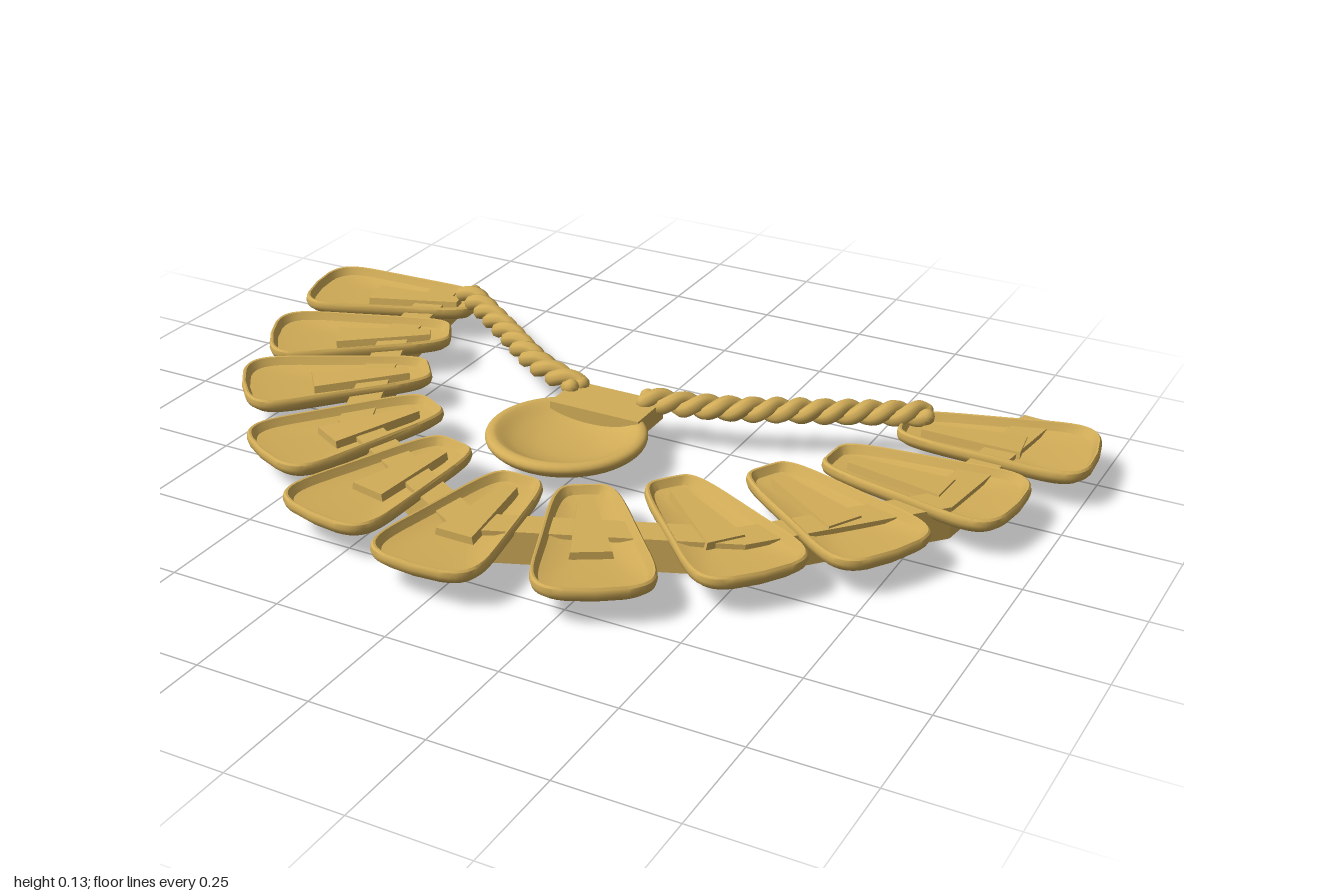
import * as THREE from 'three';
import { toCreasedNormals } from 'three/addons/utils/BufferGeometryUtils.js';

const gold = new THREE.MeshStandardMaterial({ color: 0xd2ad58 });
gold.name = 'gold';

function add(parent, name, geometry) {
  const mesh = new THREE.Mesh(geometry, gold);
  mesh.name = name;
  parent.add(mesh);
  return mesh;
}

// Shallow tray with a rounded, tapering outline; local +x is the wide end.
function trayGeometry(length) {
  const rings = [ // [scale, height] from under the belly, over the rim, to the floor
    [0, 0.041], [0.55, 0.044], [0.85, 0.053], [0.97, 0.064], [1, 0.074], [0.985, 0.084],
    [0.95, 0.088], [0.91, 0.087], [0.87, 0.079], [0.82, 0.07], [0.6, 0.063], [0, 0.06],
  ];
  const n = 48, pos = [], idx = [];
  const round = (v) => Math.sign(v) * Math.pow(Math.abs(v), 0.38);
  for (const [s, y] of rings) {
    for (let j = 0; j < n; j++) {
      const t = (j / n) * Math.PI * 2;
      const u = round(Math.cos(t)), v = round(Math.sin(t));
      const half = 0.103 + 0.035 * u;
      const bulge = u > 0 ? 0.02 * u * (1 - v * v) - 0.02 * u : 0;
      // constant-width rim: the inset is the same on the ends and the sides
      const inset = Math.min(1 - s, 0.2) * 0.1;
      const shrink = s < 0.8 ? s / 0.8 : 1;
      pos.push((length / 2 * u + bulge - inset * u) * shrink, y, (half - inset) * v * shrink);
    }
  }
  for (let i = 0; i < rings.length - 1; i++) {
    for (let j = 0; j < n; j++) {
      const k = (j + 1) % n;
      const a = i * n + j, b = i * n + k, c = a + n, d = b + n;
      if (i > 0) idx.push(a, c, b);
      else idx.push(a, c, d);
      if (i > 0 && i < rings.length - 2) idx.push(b, c, d);
    }
  }
  const g = new THREE.BufferGeometry();
  g.setAttribute('position', new THREE.Float32BufferAttribute(pos, 3));
  g.setIndex(idx);
  return toCreasedNormals(g, 0.6);
}

// Raised wedge on the tray floor, wider and lower toward the outer end.
function wedgeGeometry() {
  const g = new THREE.BoxGeometry(0.22, 0.034, 1);
  const p = g.attributes.position;
  for (let i = 0; i < p.count; i++) {
    const outer = p.getX(i) > 0, top = p.getY(i) > 0;
    p.setZ(i, p.getZ(i) * ((outer ? 0.095 : 0.045) - (top ? 0.012 : 0)));
    if (top && outer) p.setY(i, p.getY(i) - 0.004);
  }
  const flat = g.toNonIndexed();
  flat.computeVertexNormals();
  return flat;
}

// Flat band following a polyline of [x, z] points, with mitred corners.
function bandGeometry(points, width, height) {
  const p = points.map(([x, z]) => new THREE.Vector2(x, z));
  const side = (sign) => p.map((q, i) => {
    const d0 = (i ? q.clone().sub(p[i - 1]) : p[1].clone().sub(q)).normalize();
    const d1 = (i < p.length - 1 ? p[i + 1].clone().sub(q) : d0.clone()).normalize();
    const m = new THREE.Vector2(-d0.y - d1.y, d0.x + d1.x).normalize();
    const k = (width / 2) / (m.x * -d0.y + m.y * d0.x);
    return q.clone().addScaledVector(m, sign * k);
  });
  const shape = new THREE.Shape([...side(1), ...side(-1).reverse()]);
  return new THREE.ExtrudeGeometry(shape, { depth: height, bevelEnabled: false })
    .rotateX(Math.PI / 2).translate(0, height, 0);
}

// Two strands twisted around a gently sagging path.
function addRope(parent, name, points, turns) {
  const rope = new THREE.Group();
  rope.name = name;
  parent.add(rope);
  const path = new THREE.CatmullRomCurve3(points.map(([x, z]) => new THREE.Vector3(x, 0.098, z)));
  for (let s = 0; s < 2; s++) {
    const strand = [];
    for (let i = 0; i <= turns * 12; i++) {
      const t = i / (turns * 12);
      const a = t * turns * Math.PI * 2 + s * Math.PI;
      const tan = path.getTangentAt(t);
      const across = new THREE.Vector3(-tan.z, 0, tan.x).normalize();
      const q = path.getPointAt(t).addScaledVector(across, Math.cos(a) * 0.015);
      q.y += Math.sin(a) * 0.011;
      strand.push(q);
    }
    const curve = new THREE.CatmullRomCurve3(strand);
    add(rope, 'ropeStrand', new THREE.TubeGeometry(curve, turns * 18, 0.018, 8));
    for (const end of [strand[0], strand[strand.length - 1]]) {
      add(rope, 'strandEnd', new THREE.SphereGeometry(0.018, 10, 8)).position.copy(end);
    }
  }
}

export function createModel() {
  const model = new THREE.Group();
  model.name = 'collar';

  // Trays around the arc: inner x, z then outer x, z
  const trays = [
    [-0.585, -0.553, -0.997, -0.463], [-0.54, -0.372, -0.92, -0.15],
    [-0.468, -0.174, -0.815, 0.11], [-0.366, -0.019, -0.57, 0.365],
    [-0.221, 0.118, -0.313, 0.55], [-0.022, 0.19, -0.024, 0.622],
    [0.115, 0.17, 0.334, 0.532], [0.25, 0.061, 0.585, 0.318],
    [0.398, -0.088, 0.783, 0.12], [0.497, -0.212, 0.928, -0.185],
    [0.586, -0.425, 0.992, -0.48],
  ];
  const tray = trayGeometry(0.432), wedge = wedgeGeometry();
  for (const [x0, z0, x1, z1] of trays) {
    const petal = new THREE.Group();
    petal.name = 'petal';
    petal.position.set((x0 + x1) / 2, 0, (z0 + z1) / 2);
    petal.rotation.y = Math.atan2(z0 - z1, x1 - x0);
    add(petal, 'petalTray', tray);
    add(petal, 'petalWedge', wedge).position.set(-0.055, 0.065, 0);
    model.add(petal);
  }

  // Supporting band beneath the trays
  add(model, 'supportBand', bandGeometry([
    [-0.71, -0.62], [-0.66, -0.3], [-0.49, 0.12], [-0.03, 0.4],
    [0.48, 0.19], [0.77, -0.14], [0.83, -0.605],
  ], 0.07, 0.073));

  // Round hollow pendant
  const bowl = [
    [0, 0.03], [0.06, 0.032], [0.11, 0.039], [0.15, 0.05], [0.17, 0.063], [0.177, 0.076],
    [0.172, 0.086], [0.16, 0.089], [0.148, 0.085], [0.12, 0.07], [0.08, 0.058], [0.04, 0.053], [0, 0.052],
  ].map(([r, y]) => new THREE.Vector2(r, y));
  add(model, 'pendantBowl', new THREE.LatheGeometry(new THREE.SplineCurve(bowl).getPoints(36)
    .map((q) => new THREE.Vector2(Math.max(q.x, 0), q.y)), 48)).position.set(-0.04, 0, -0.03);

  // Block that joins the pendant and the ropes
  add(model, 'pendantBlock', new THREE.BoxGeometry(0.22, 0.043, 0.122)).position.set(-0.026, 0.0725, -0.187);

  addRope(model, 'rightRope', [[-0.61, -0.56], [-0.39, -0.39], [-0.25, -0.28], [-0.12, -0.22]], 5);
  addRope(model, 'leftRope', [[0.05, -0.23], [0.2, -0.265], [0.38, -0.345], [0.62, -0.46]], 6);
  return model;
}
